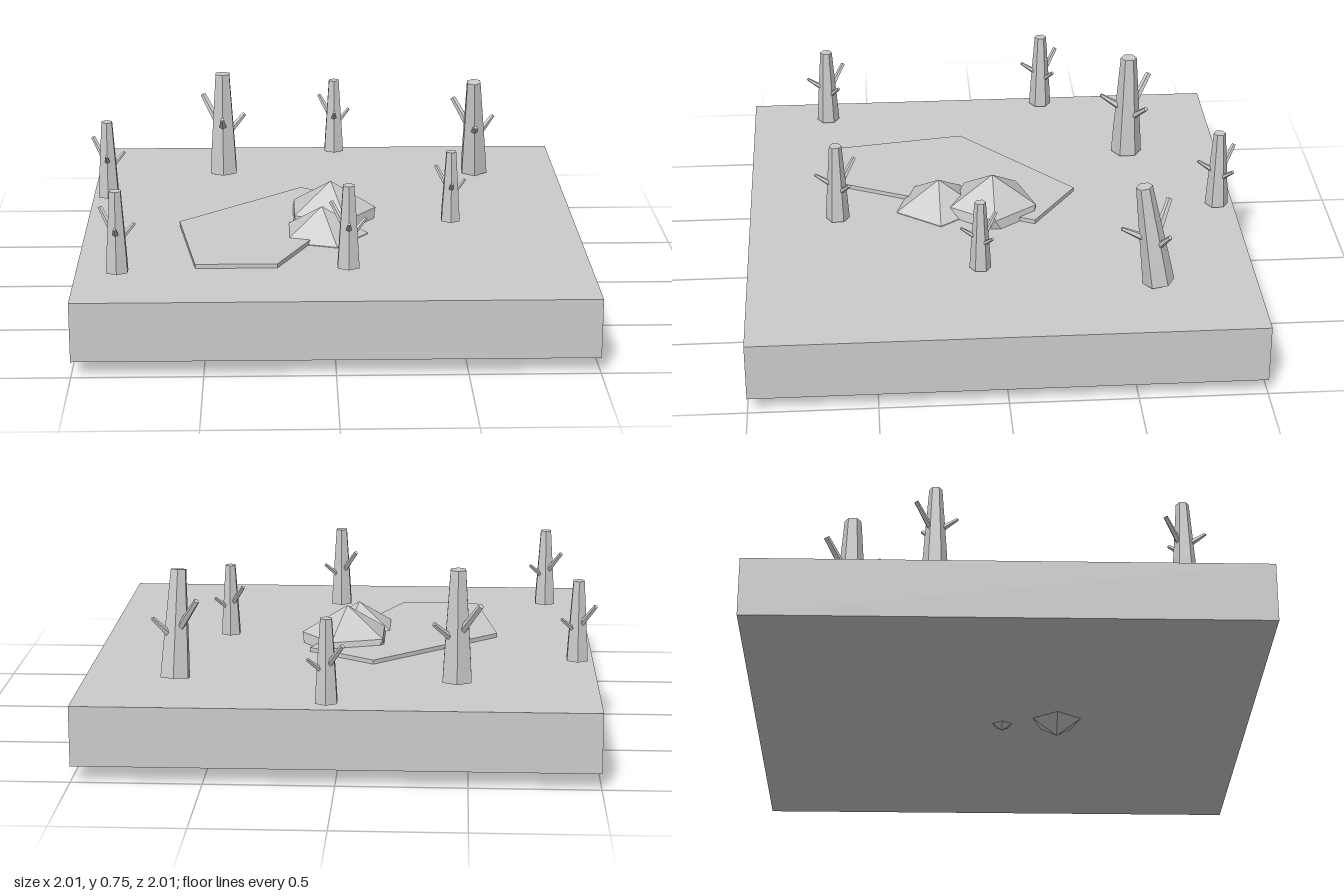
import * as THREE from 'three';

const mat = new THREE.MeshStandardMaterial({ color: 0xcccccc, flatShading: true });

function add(parent, geometry, name) {
  const mesh = new THREE.Mesh(geometry, mat);
  mesh.name = name;
  parent.add(mesh);
  return mesh;
}

// Tapered limb between two points
function limb(parent, from, to, r0, r1) {
  const a = new THREE.Vector3(...from), b = new THREE.Vector3(...to);
  const dir = b.clone().sub(a);
  const mesh = add(parent, new THREE.CylinderGeometry(r1, r0, dir.length(), 5), 'branch');
  mesh.position.copy(a).add(b).multiplyScalar(0.5);
  mesh.quaternion.setFromUnitVectors(new THREE.Vector3(0, 1, 0), dir.normalize());
}

// Bare six-sided tree: straight foot, tapering trunk, three stubby branches
function tree(x, z, scale, tiltX = 0, tiltZ = 0) {
  const g = new THREE.Group();
  g.name = 'tree';
  const profile = [[0, 0], [0.048, 0], [0.043, 0.08], [0.025, 0.325], [0, 0.325]];
  add(g, new THREE.LatheGeometry(profile.map(p => new THREE.Vector2(...p)), 6), 'trunk');
  limb(g, [-0.015, 0.155, -0.02], [-0.065, 0.237, -0.073], 0.012, 0.009);
  limb(g, [0.015, 0.125, -0.012], [0.068, 0.178, -0.05], 0.011, 0.007);
  limb(g, [0, 0.15, 0.015], [0, 0.198, 0.085], 0.013, 0.006);
  g.position.set(x, 0.31, z);
  g.rotation.set(tiltX, 0, tiltZ);
  g.scale.setScalar(scale);
  return g;
}

// Icosahedral boulder standing on a point, from its poles and two offset rings
function boulder(parent, x, y, z, r) {
  const ring = (h, offset) => [0, 1, 2, 3, 4].map(i => {
    const a = (i * 2 * Math.PI) / 5 + offset;
    return [0.894 * r * Math.cos(a), h, 0.894 * r * Math.sin(a)];
  });
  const up = ring(0.447 * r, 0), low = ring(-0.447 * r, Math.PI / 5);
  const pos = [];
  for (let i = 0; i < 5; i++) {
    const j = (i + 1) % 5;
    pos.push(...[0, r, 0], ...up[j], ...up[i]);
    pos.push(...up[i], ...up[j], ...low[i]);
    pos.push(...low[i], ...up[j], ...low[j]);
    pos.push(...[0, -r, 0], ...low[i], ...low[j]);
  }
  const geo = new THREE.BufferGeometry();
  geo.setAttribute('position', new THREE.Float32BufferAttribute(pos, 3));
  geo.computeVertexNormals();
  add(parent, geo, 'boulder').position.set(x, y, z);
}

export function createModel() {
  const model = new THREE.Group();
  model.name = 'woodlandTile';

  // Ground block
  add(model, new THREE.BoxGeometry(2, 0.235, 2), 'ground').position.y = 0.1825;

  // Thin five-sided slab lying on the ground
  const outline = [[-0.62, 0.1], [-0.54, 0.625], [-0.22, 0.625], [0.145, -0.165], [-0.12, -0.35]];
  const shape = new THREE.Shape(outline.map(([x, z]) => new THREE.Vector2(x, -z)));
  const slab = add(model, new THREE.ExtrudeGeometry(shape, { depth: 0.03, bevelEnabled: false }), 'slab');
  slab.rotation.x = -Math.PI / 2;
  slab.position.y = 0.287;

  // Boulders, poking out below the ground
  boulder(model, 0, 0.2475, 0, 0.208);
  boulder(model, -0.04, 0.21, 0.22, 0.208);

  // Trees: x, z, scale, optional lean
  const trees = [
    [-0.455, -0.61, 1.36], [0.643, -0.61, 1.3, 0.16, 0.03],
    [0.035, -0.93, 1], [-0.935, -0.275, 1], [0.49, 0.08, 0.9],
    [0.055, 0.64, 1.015], [-0.838, 0.675, 1],
  ];
  for (const t of trees) model.add(tree(...t));

  return model;
}
